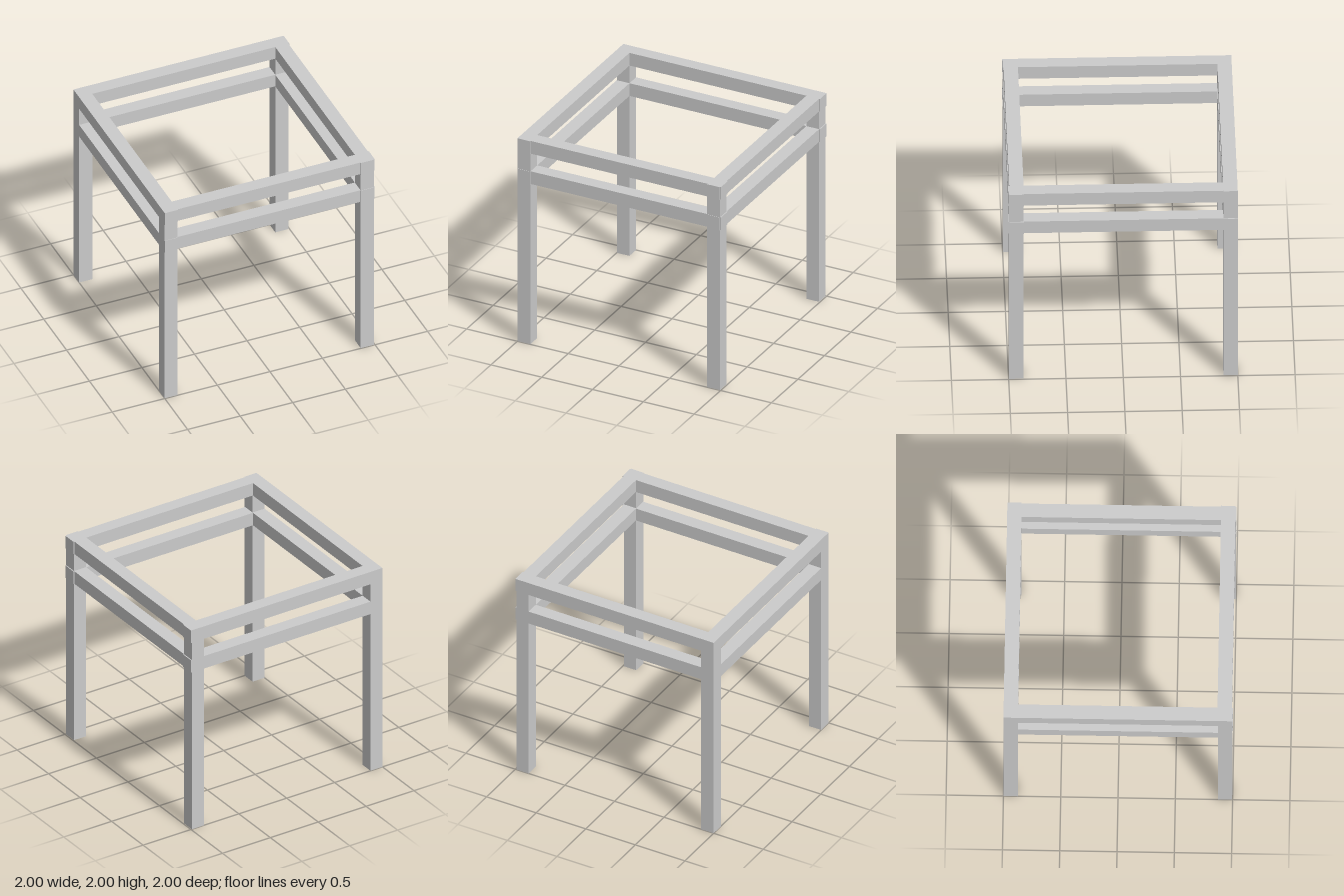
import * as THREE from 'three';

const T = 0.125; // square section of every bar

export function createModel() {
  const model = new THREE.Group();
  const material = new THREE.MeshStandardMaterial({ color: 0xcccccc, flatShading: true });

  // Box bar given by its minimum corner and size
  function bar(name, [x, y, z], [w, h, d]) {
    const mesh = new THREE.Mesh(new THREE.BoxGeometry(w, h, d), material);
    mesh.name = name;
    mesh.position.set(x + w / 2, y + h / 2, z + d / 2);
    model.add(mesh);
  }

  const sides = [['right', -1], ['left', 0.866]];

  // Four legs
  for (const [side, x] of sides) {
    bar(`${side}BackLeg`, [x, 0, -1], [T, 2, T]);
    bar(`${side}FrontLeg`, [x, 0, 0.871], [T, 2, T]);
  }

  // Two square frames of rails, whose ends stand slightly proud of the legs
  for (const [level, y] of [['top', 1.875], ['lower', 1.576]]) {
    bar(`${level}BackRail`, [-1, y, -1], [2, T, T]);
    bar(`${level}FrontRail`, [-1, y, 0.866], [2, T, T]);
    for (const [side, x] of sides) bar(`${level}${side === 'left' ? 'Left' : 'Right'}Rail`, [x, y, -1], [T, T, 2]);
  }
  return model;
}
